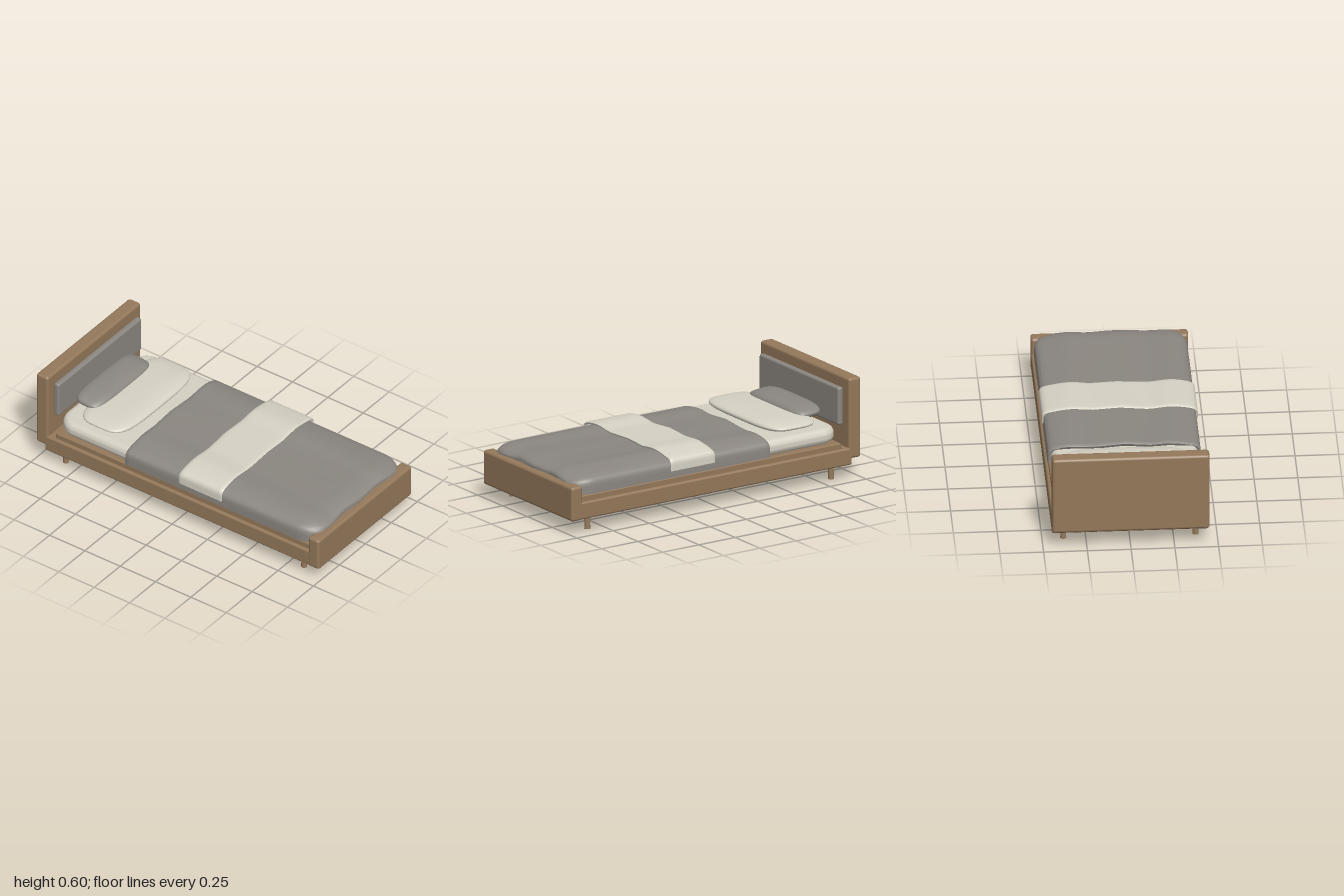
import * as THREE from 'three';
import { mergeVertices, toCreasedNormals } from 'three/addons/utils/BufferGeometryUtils.js';
import { RoundedBoxGeometry } from 'three/addons/geometries/RoundedBoxGeometry.js';

const spow = (v, e) => Math.sign(v) * Math.abs(v) ** e;

// Gentle folds shared by the duvet and the throw, fading out toward the sides
const fold = (x, z) =>
  (0.006 * Math.cos(21 * x + 1.6 * z) + 0.003 * Math.sin(9 * x - 4 * z)) * (1 - Math.min(1, Math.abs(x) / 0.45) ** 4);

// Draped cloth: a row of arched cross-sections { z, w, top, base }
function clothGeometry(rows, columns = 72) {
  const positions = [], index = [];
  rows.forEach(({ z, w, top, base, dz = 0 }, i) => {
    for (let j = 0; j <= columns; j++) {
      const a = Math.PI * (1 - j / columns);
      const x = w * spow(Math.cos(a), 1 / 3);
      const s = Math.abs(Math.sin(a)) < 1e-6 ? 0 : Math.sin(a) ** (1 / 3);
      positions.push(x, base + (top - base + fold(x, z)) * s, z + dz * Math.cos(21 * x));
      if (i && j) {
        const d = i * (columns + 1) + j, c = d - 1, b = d - columns - 1, e = b - 1;
        index.push(e, c, b, b, c, d);
      }
    }
  });
  const g = new THREE.BufferGeometry();
  g.setAttribute('position', new THREE.Float32BufferAttribute(positions, 3));
  g.setIndex(index);
  g.computeVertexNormals();
  return toCreasedNormals(g, 0.9);
}

// Pillow: a sphere squared off in plan and kept soft in height
function pillowGeometry(a, b, c) {
  let g = new THREE.SphereGeometry(1, 56, 28);
  g.deleteAttribute('uv');
  g.deleteAttribute('normal');
  const p = g.attributes.position;
  for (let i = 0; i < p.count; i++) {
    const x = p.getX(i), y = p.getY(i), z = p.getZ(i);
    const r = Math.hypot(x, z) || 1e-9;
    const k = r ** 0.65;
    p.setXYZ(i, a * spow(x / r, 0.5) * k, b * spow(y, 0.9), c * spow(z / r, 0.5) * k);
  }
  g = mergeVertices(g, 1e-5);
  g.computeVertexNormals();
  return g;
}

// Slab with rounded plan corners and a rounded rim
function mattressGeometry(w, h, d, r, bevel) {
  const x = w / 2 - bevel, y = d / 2 - bevel, s = new THREE.Shape();
  s.moveTo(-x + r, -y);
  s.lineTo(x - r, -y).absarc(x - r, -y + r, r, -Math.PI / 2, 0);
  s.lineTo(x, y - r).absarc(x - r, y - r, r, 0, Math.PI / 2);
  s.lineTo(-x + r, y).absarc(-x + r, y - r, r, Math.PI / 2, Math.PI);
  s.lineTo(-x, -y + r).absarc(-x + r, -y + r, r, Math.PI, Math.PI * 1.5);
  const g = new THREE.ExtrudeGeometry(s, {
    depth: h - 2 * bevel, bevelSize: bevel, bevelThickness: bevel, bevelSegments: 8, curveSegments: 12,
  });
  g.center();
  g.rotateX(-Math.PI / 2);
  return toCreasedNormals(g, 0.7);
}

export function createModel() {
  const bed = new THREE.Group();
  bed.name = 'bed';
  const material = (name, color, side = THREE.FrontSide) => {
    const m = new THREE.MeshStandardMaterial({ color, side });
    m.name = name;
    return m;
  };
  const wood = material('wood', 0x94785a);
  const grey = material('grey fabric', 0x8b8680, THREE.DoubleSide);
  const cream = material('cream linen', 0xd6d1c4, THREE.DoubleSide);

  const add = (name, geometry, mat, x = 0, y = 0, z = 0) => {
    const mesh = new THREE.Mesh(geometry, mat);
    mesh.name = name;
    mesh.position.set(x, y, z);
    bed.add(mesh);
    return mesh;
  };
  // Rounded box given by its half width and its y and z ranges
  const slab = (name, mat, halfW, y0, y1, z0, z1, radius) =>
    add(name, new RoundedBoxGeometry(2 * halfW, y1 - y0, z1 - z0, 4, radius), mat, 0, (y0 + y1) / 2, (z0 + z1) / 2);

  // Wooden frame
  slab('baseFrame', wood, 0.449, 0.083, 0.185, -0.94, 0.99, 0.012);
  slab('platform', wood, 0.43, 0.17, 0.218, -0.875, 0.95, 0.006);
  slab('headboard', wood, 0.45, 0.12, 0.6, -1, -0.917, 0.016);
  slab('footboard', wood, 0.45, 0.08, 0.284, 0.925, 1, 0.016);
  slab('headboardPanel', grey, 0.4, 0.315, 0.54, -0.912, -0.875, 0.013);

  // Legs
  const leg = new THREE.CylinderGeometry(0.014, 0.0175, 0.1, 20);
  for (const x of [-0.378, 0.378])
    for (const z of [-0.84, 0.845]) add('leg', leg, wood, x, 0.05, z);

  // Mattress
  add('mattress', mattressGeometry(0.836, 0.092, 1.78, 0.08, 0.04), cream, 0, 0.264, 0.002);

  // Duvet: hem at the head end, rounded corners and a drop at the foot
  const duvet = [
    { z: -0.372, w: 0.418, top: 0.311, base: 0.222 },
    { z: -0.38, w: 0.434, top: 0.328, base: 0.222 },
    { z: -0.37, w: 0.438, top: 0.335, base: 0.222 },
  ];
  for (let i = 0; i <= 24; i++) duvet.push({ z: -0.35 + 1.17 * i / 24, w: 0.438, top: 0.335, base: 0.222 });
  for (let i = 1; i <= 12; i++) {
    const a = (i / 12) * Math.PI / 2, drop = 1 - Math.cos(a);
    duvet.push({ z: 0.82 + 0.14 * Math.sin(a), w: 0.438 - 0.085 * drop, top: 0.335 - 0.04 * drop, base: 0.222, dz: 0.006 * drop });
  }
  duvet.push({ z: 0.955, w: 0.345, top: 0.23, base: 0.222 });
  add('duvet', clothGeometry(duvet), grey);

  // Folded throw across the duvet
  const blanket = [
    { z: 0.012, w: 0.436, top: 0.336, base: 0.265 },
    { z: 0.006, w: 0.443, top: 0.346, base: 0.262 },
    { z: 0.014, w: 0.446, top: 0.352, base: 0.262 },
  ];
  for (let i = 0; i <= 8; i++) blanket.push({ z: 0.03 + 0.26 * i / 8, w: 0.446, top: 0.353, base: 0.262 });
  blanket.push(
    { z: 0.302, w: 0.446, top: 0.352, base: 0.262 },
    { z: 0.31, w: 0.443, top: 0.346, base: 0.262 },
    { z: 0.304, w: 0.436, top: 0.336, base: 0.265 },
  );
  add('throwBlanket', clothGeometry(blanket), cream);

  // Pillows
  add('largePillow', pillowGeometry(0.375, 0.033, 0.172), cream, 0, 0.342, -0.617);
  const small = add('smallPillow', pillowGeometry(0.273, 0.043, 0.098), grey, -0.002, 0.366, -0.782);
  small.rotation.x = 0.08;

  return bed;
}
